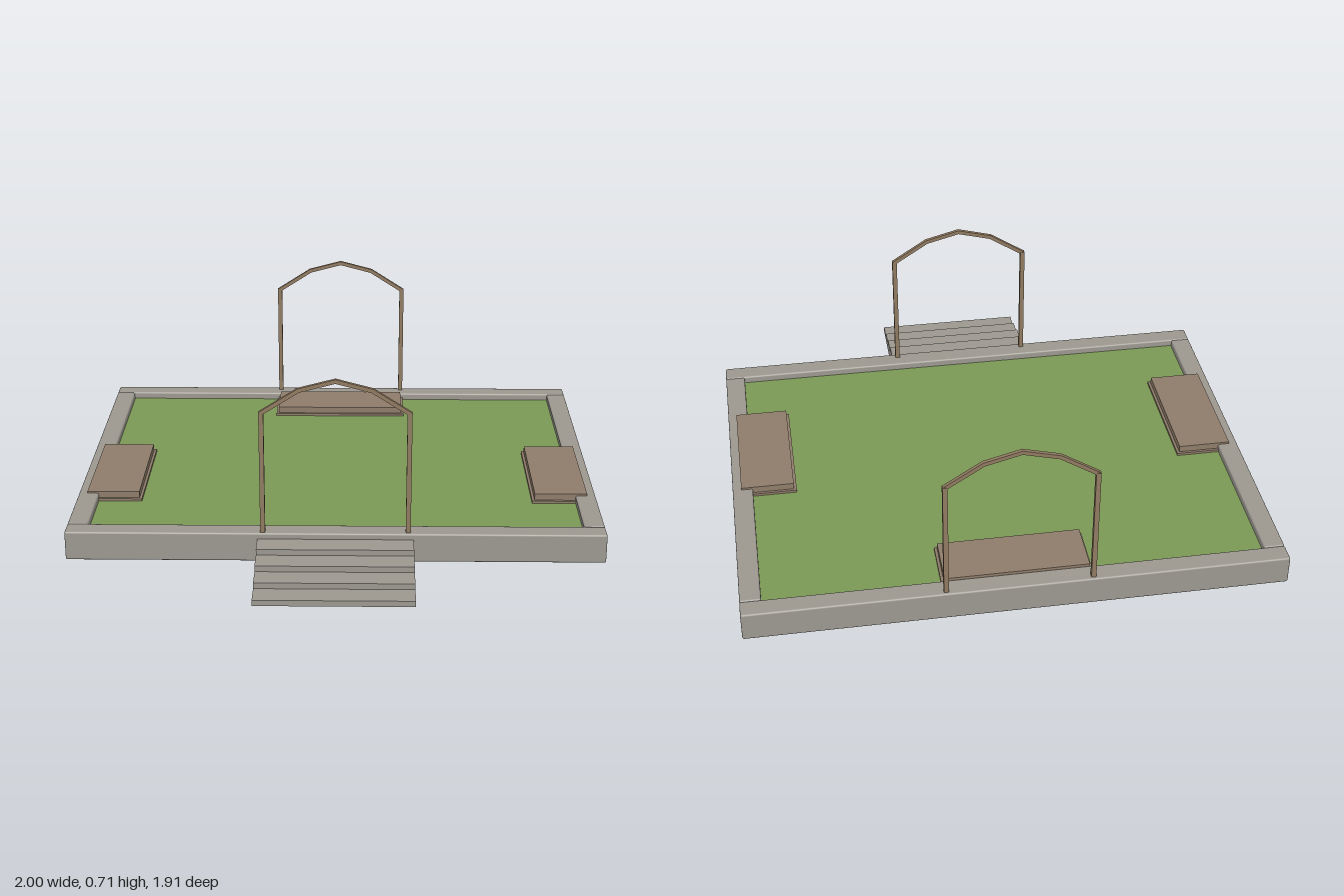
import * as THREE from 'three';
import { RoundedBoxGeometry } from 'three/addons/geometries/RoundedBoxGeometry.js';

const mat = (color) => new THREE.MeshStandardMaterial({ color });

export function createModel() {
  const model = new THREE.Group();
  const stone = mat(0x9c9890), grass = mat(0x7b9955), wood = mat(0x8e7c6a), timber = mat(0x8f7a60);

  // Box given by its limits on each axis, optionally with softened edges
  function block(name, [x0, x1], [y0, y1], [z0, z1], material, radius = 0, parent = model) {
    const size = [x1 - x0, y1 - y0, z1 - z0];
    const geometry = radius
      ? new RoundedBoxGeometry(...size, 2, radius)
      : new THREE.BoxGeometry(...size);
    const mesh = new THREE.Mesh(geometry, material);
    mesh.name = name;
    mesh.position.set((x0 + x1) / 2, (y0 + y1) / 2, (z0 + z1) / 2);
    parent.add(mesh);
    return mesh;
  }

  // Stone border and sunken lawn
  const H = 0.113;
  block('frontWall', [-1, 1], [0, H], [0.522, 0.598], stone, 0.007);
  block('backWall', [-1, 1], [0, H], [-0.955, -0.88], stone, 0.007);
  block('leftWall', [0.923, 1], [0, H], [-0.88, 0.522], stone, 0.007);
  block('rightWall', [-1, -0.923], [0, H], [-0.88, 0.522], stone, 0.007);
  block('lawn', [-0.93, 0.93], [0.07, 0.085], [-0.885, 0.527], grass);

  // Front steps, each tread resting on the ground
  const steps = new THREE.Group();
  steps.name = 'steps';
  model.add(steps);
  for (let i = 0; i < 4; i++) {
    const z = 0.598 + i * 0.0893;
    block('step', [-0.288, 0.288], [0, 0.0225 * (4 - i)], [z, z + 0.0893], stone, 0, steps);
  }

  // Low benches: a seat over a slightly wider plinth
  function bench(name, [x0, x1], [z0, z1]) {
    const group = new THREE.Group();
    group.name = name;
    model.add(group);
    block('seat', [x0, x1], [0.09, 0.121], [z0, z1], wood, 0, group);
    block('plinth', [x0 - 0.01, x1 + 0.01], [0.066, 0.095], [z0 - 0.01, z1 + 0.01], wood, 0, group);
  }
  bench('backBench', [-0.267, 0.267], [-0.88, -0.682]);
  bench('leftBench', [0.765, 0.967], [-0.243, 0.243]);
  bench('rightBench', [-0.967, -0.765], [-0.243, 0.243]);

  // Garden arches: two posts joined by four straight rails
  const points = [[-0.27, 0.58], [-0.133, 0.668], [0, 0.703], [0.133, 0.668], [0.27, 0.58]];
  function arch(name, z) {
    const group = new THREE.Group();
    group.name = name;
    group.position.z = z;
    model.add(group);
    for (const x of [-0.268, 0.268])
      block('post', [x - 0.009, x + 0.009], [0.1, 0.585], [-0.009, 0.009], timber, 0, group);
    for (let i = 0; i < 4; i++) {
      const [ax, ay] = points[i], [bx, by] = points[i + 1];
      const length = Math.hypot(bx - ax, by - ay) + 0.005;
      const rail = new THREE.Mesh(new THREE.BoxGeometry(length, 0.015, 0.014), timber);
      rail.name = 'rail';
      rail.position.set((ax + bx) / 2, (ay + by) / 2, 0);
      rail.rotation.z = Math.atan2(by - ay, bx - ax);
      group.add(rail);
    }
  }
  arch('frontArch', 0.58);
  arch('backArch', -0.935);

  return model;
}
